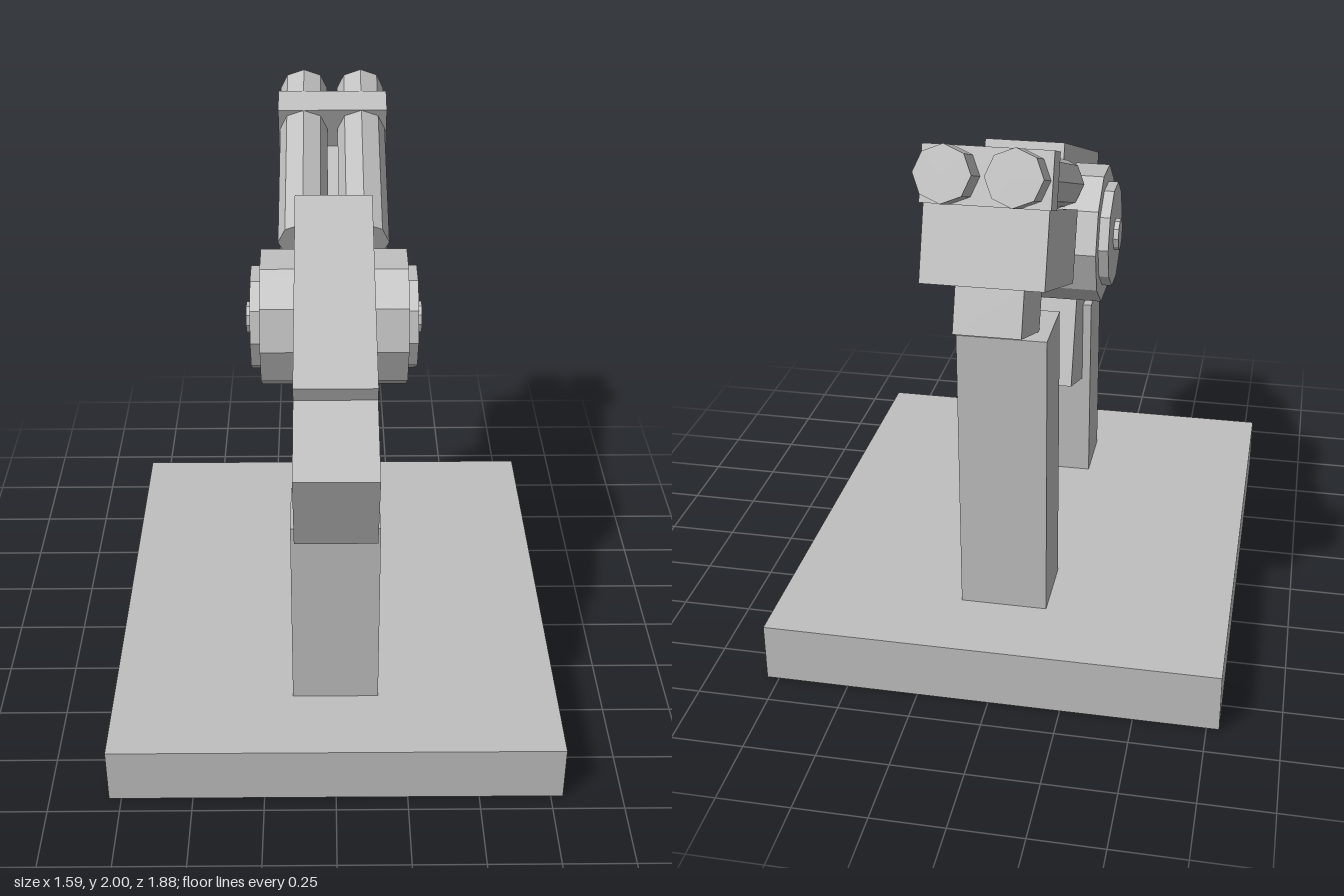
import * as THREE from 'three';

export function createModel() {
  const model = new THREE.Group();
  model.name = 'mountedDevice';
  const grey = new THREE.MeshStandardMaterial({ color: 0xbfbfbf, flatShading: true });
  grey.name = 'plain grey';

  const add = (parent, name, geometry) => {
    const mesh = new THREE.Mesh(geometry, grey);
    mesh.name = name;
    parent.add(mesh);
    return mesh;
  };

  // Box from half width in x and ranges in y and z
  const box = (parent, name, halfX, y0, y1, z0, z1) =>
    add(parent, name, new THREE.BoxGeometry(halfX * 2, y1 - y0, z1 - z0))
      .position.set(0, (y0 + y1) / 2, (z0 + z1) / 2);

  // Display base and its two posts
  box(model, 'base', 0.793, 0, 0.21, -0.88, 0.94);
  box(model, 'frontPost', 0.152, 0.21, 0.945, 0.41, 0.652);
  box(model, 'rearPost', 0.152, 0.21, 1.25, -0.594, -0.345);

  // Tilted assembly, pivoting on the drum axis, barrels pointing to -z
  const body = new THREE.Group();
  body.name = 'tiltedBody';
  body.position.set(0, 1.405, 0.0135);
  body.rotation.x = THREE.MathUtils.degToRad(20);
  model.add(body);

  box(body, 'topReceiver', 0.136, 0.085, 0.3, -0.304, 0.577);
  box(body, 'endBlock', 0.136, -0.092, 0.243, 0.577, 0.9);
  box(body, 'grip', 0.12, -0.598, -0.124, 0.338, 0.658);
  box(body, 'underBlock', 0.195, -0.168, 0.08, -0.893, -0.311);
  box(body, 'underFoot', 0.11, -0.328, -0.168, -0.765, -0.43);
  box(body, 'barrelClamp', 0.203, 0.077, 0.256, -0.916, -0.806);

  // Drum with stepped side discs and hubs, all ten sided
  for (const [name, radius, halfX] of [
    ['drum', 0.243, 0.255],
    ['drumDisc', 0.184, 0.29],
    ['drumHub', 0.056, 0.308],
  ]) {
    const g = new THREE.CylinderGeometry(radius, radius, halfX * 2, 10, 1, false, Math.PI / 10);
    add(body, name, g.rotateZ(Math.PI / 2));
  }

  // Pair of octagonal barrels
  for (const [name, side] of [['leftBarrel', 1], ['rightBarrel', -1]]) {
    const g = new THREE.CylinderGeometry(0.089, 0.089, 0.838, 8).rotateX(Math.PI / 2);
    add(body, name, g).position.set(side * 0.108, 0.166, -0.624);
  }

  return model;
}
